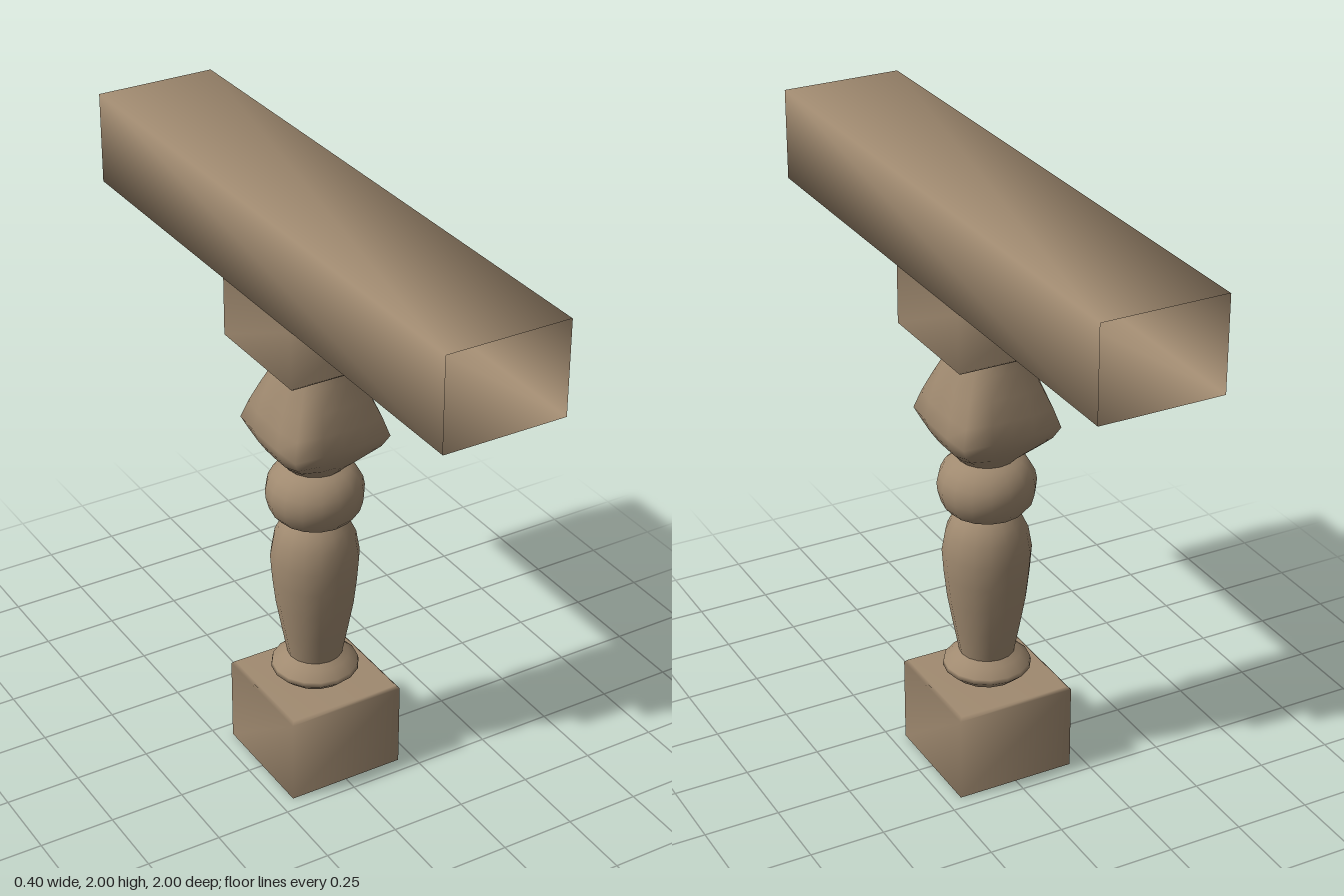
import * as THREE from 'three';

const wood = new THREE.MeshStandardMaterial({ color: 0xa08a70, side: THREE.DoubleSide });

// Skin a stack of rings. Each ring is [y, half width, squareness];
// squareness 2 is a circle, larger values approach a square.
function loft(name, rings, sides, turn = 0) {
  const pos = [], index = [];
  rings.forEach(([y, r, n = 2], k) => {
    for (let i = 0; i < sides; i++) {
      const a = turn + (i / sides) * Math.PI * 2;
      const c = Math.cos(a), s = Math.sin(a);
      const d = r / Math.pow(Math.abs(c) ** n + Math.abs(s) ** n, 1 / n);
      pos.push(c * d, y, s * d);
      if (k === rings.length - 1) continue;
      const p = k * sides + i, q = k * sides + (i + 1) % sides;
      index.push(p, p + sides, q, q, p + sides, q + sides);
    }
  });
  const geo = new THREE.BufferGeometry();
  geo.setAttribute('position', new THREE.Float32BufferAttribute(pos, 3));
  geo.setIndex(index);
  geo.computeVertexNormals();
  const mesh = new THREE.Mesh(geo, wood);
  mesh.name = name;
  return mesh;
}

// Four-cornered loft; ring sizes are half the side length.
function squareLoft(name, rings) {
  return loft(name, rings.map(([y, h]) => [y, h * Math.SQRT2]), 4, Math.PI / 4);
}

export function createModel() {
  const model = new THREE.Group();
  model.name = 'baluster';

  // Base block, open underneath, with a small bevel on top
  model.add(squareLoft('baseBlock', [[0, 0.2], [0.29, 0.2], [0.3, 0.19], [0.3, 0]]));

  // Turned foot ring and vase
  model.add(loft('footRing', [
    [0.3, 0.085], [0.315, 0.11], [0.345, 0.143], [0.36, 0.14], [0.385, 0.11], [0.4, 0.09],
  ], 16));
  model.add(loft('vase', [
    [0.4, 0.09], [0.5, 0.109], [0.6, 0.127], [0.69, 0.137], [0.77, 0.143],
    [0.84, 0.131], [0.88, 0.112], [0.905, 0.092],
  ], 16));

  // Round bead
  model.add(loft('bead', [
    [0.905, 0.092], [0.92, 0.122], [0.945, 0.144], [0.98, 0.154], [1.01, 0.157],
    [1.04, 0.151], [1.07, 0.135], [1.09, 0.112], [1.1, 0.092],
  ], 16));

  // Pear that swells from a round neck to a square belly and back
  model.add(loft('squaredPear', [
    [1.1, 0.092, 2], [1.125, 0.112, 2.6], [1.155, 0.14, 4], [1.19, 0.162, 8],
    [1.23, 0.175, 16], [1.29, 0.163, 8], [1.36, 0.146, 4], [1.43, 0.122, 2.6], [1.5, 0.098, 2],
  ], 16));

  // Cap block, bevelled underneath
  model.add(squareLoft('capBlock', [[1.5, 0], [1.5, 0.19], [1.51, 0.2], [1.7, 0.2]]));

  // Hollow handrail, open at both ends
  const rail = squareLoft('handrail', [[-1, 0.2], [1, 0.2]]);
  rail.geometry.scale(1, 1, 0.75);
  rail.geometry.rotateX(Math.PI / 2);
  rail.position.y = 1.85;
  model.add(rail);

  return model;
}
